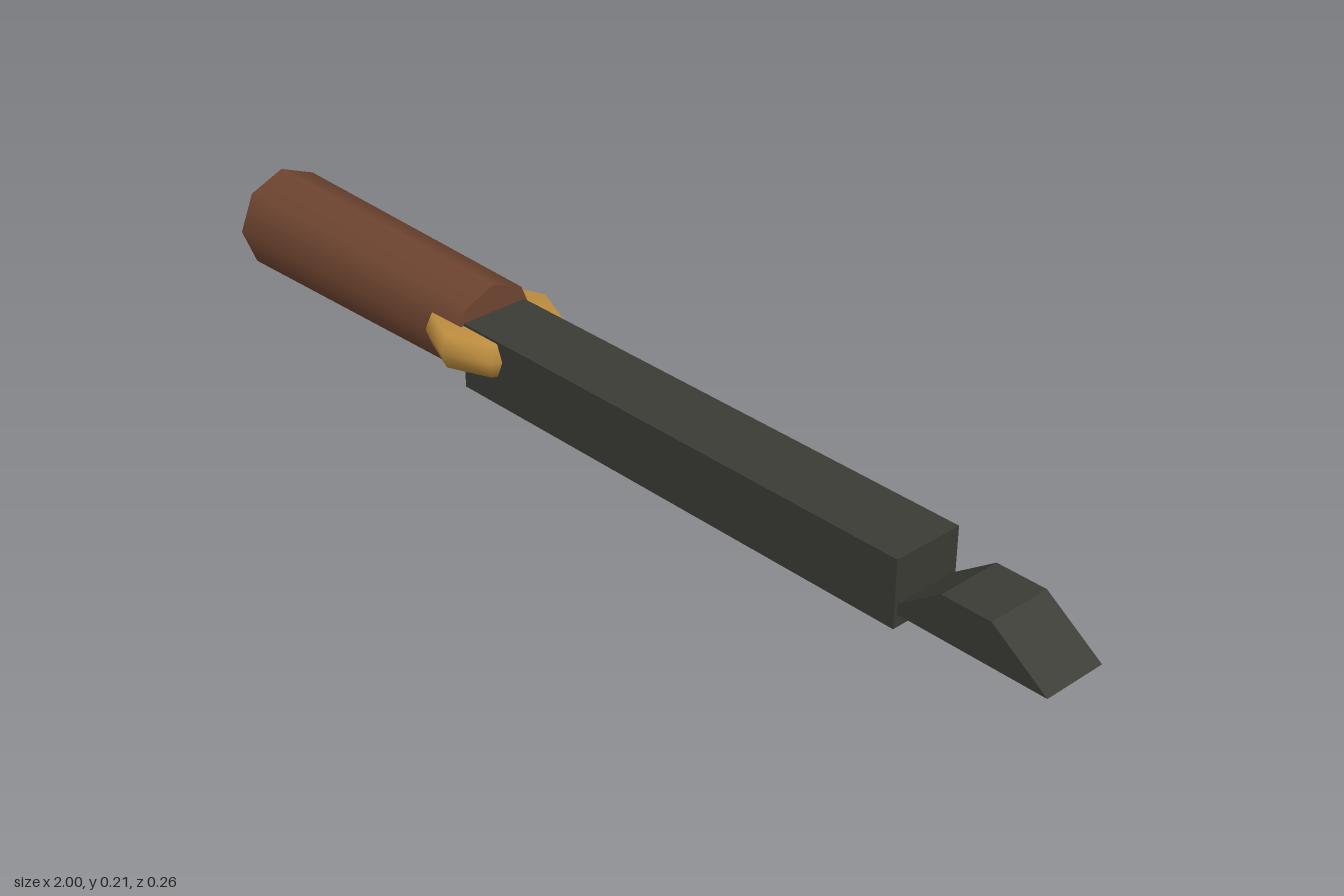
import * as THREE from 'three';

export function createModel() {
  const model = new THREE.Group();
  const material = (name, color) => new THREE.MeshStandardMaterial({ name, color });
  const wood = material('brown wood', 0x6e4430);
  const steel = material('dark steel', 0x3a3b34);
  const brass = material('brass', 0xbd8d3f);

  const add = (name, geometry, mat, x, y) => {
    const mesh = new THREE.Mesh(geometry, mat);
    mesh.name = name;
    mesh.position.set(x, y, 0);
    model.add(mesh);
    return mesh;
  };

  // Tapered eight-sided handle, thickest at the butt
  const handle = add('handle', new THREE.CylinderGeometry(0.093, 0.104, 0.65, 8), wood, -0.675, 0.106);
  handle.rotation.z = -Math.PI / 2;

  // Straight square shaft
  add('shaft', new THREE.BoxGeometry(1.05, 0.13, 0.144), steel, 0.175, 0.08);

  // Eight-sided collar with a ridged rim, showing on both sides
  const rim = [[0, -0.033], [0.118, -0.033], [0.131, 0], [0.118, 0.033], [0, 0.033]]
    .map(([r, y]) => new THREE.Vector2(r, y));
  add('collar', new THREE.LatheGeometry(rim, 8), brass, -0.345, 0.107);

  // Wedge-shaped tip, extruded across the width
  const profile = new THREE.Shape([
    [0.7, 0.04], [1, 0.04], [0.885, 0.12], [0.785, 0.12], [0.7, 0.06],
  ].map(([x, y]) => new THREE.Vector2(x, y)));
  const tip = new THREE.ExtrudeGeometry(profile, { depth: 0.13, bevelEnabled: false });
  tip.translate(0, 0, -0.065);
  add('tip', tip, steel, 0, 0);

  return model;
}
